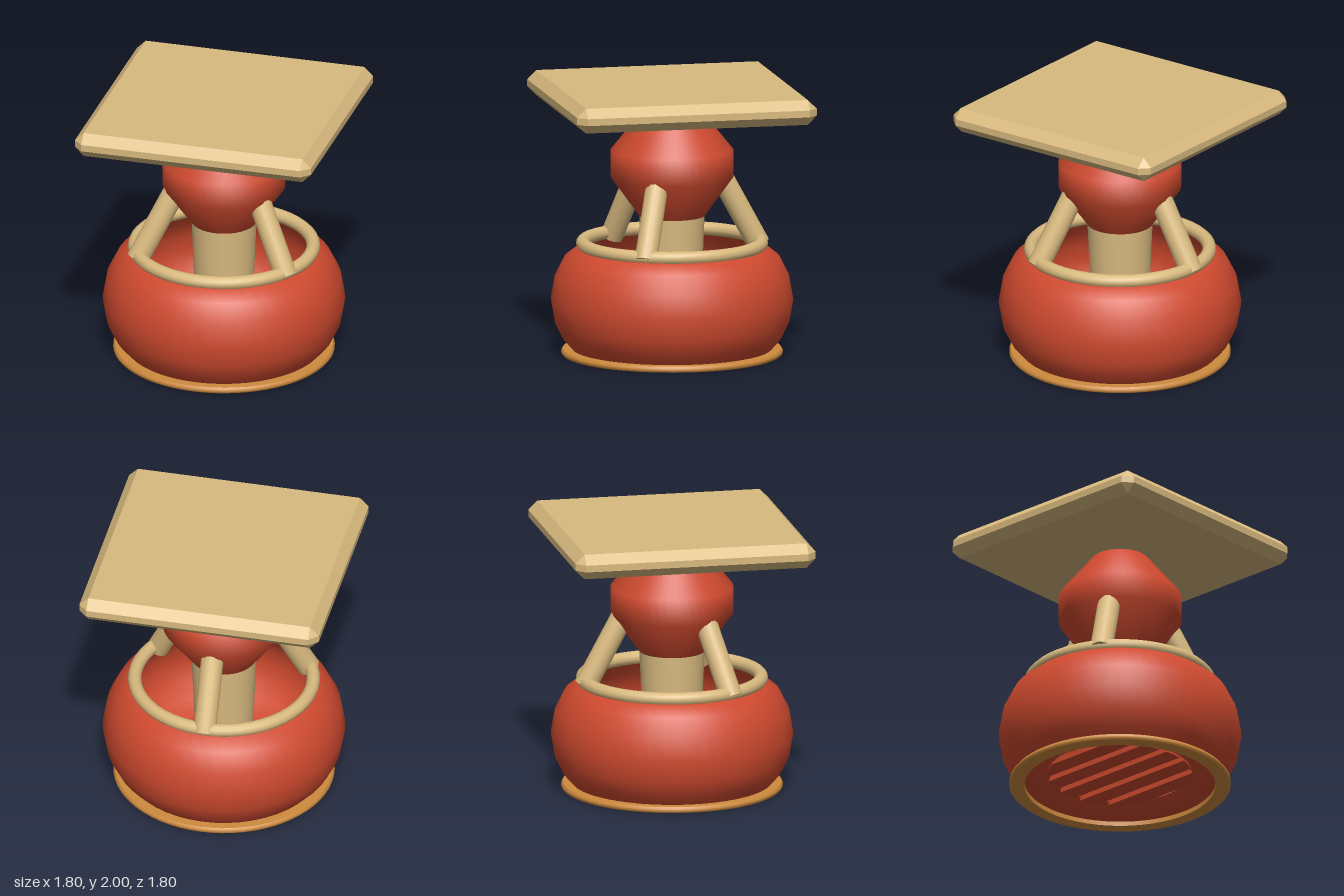
import * as THREE from 'three';
import { ConvexGeometry } from 'three/addons/geometries/ConvexGeometry.js';

const red = new THREE.MeshStandardMaterial({ color: 0xcf4a2f });
red.name = 'terracotta red';
const tan = new THREE.MeshStandardMaterial({ color: 0xd9ba7f });
tan.name = 'tan';
const tanFlat = tan.clone();
tanFlat.name = 'tan faceted';
tanFlat.flatShading = true;
const amber = new THREE.MeshStandardMaterial({ color: 0xcf8b3e });
amber.name = 'amber';

function add(parent, name, geometry, material) {
  const mesh = new THREE.Mesh(geometry, material);
  mesh.name = name;
  parent.add(mesh);
  return mesh;
}

function lathe(points, segments = 48) {
  return new THREE.LatheGeometry(points.map(([r, y]) => new THREE.Vector2(r, y)), segments);
}

// Slab with all edges and corners cut at an angle
function bevelledSlab(half, halfHeight, bevel) {
  const points = [];
  const inner = half - bevel;
  for (const sx of [-1, 1]) for (const sy of [-1, 1]) for (const sz of [-1, 1]) {
    points.push(
      new THREE.Vector3(sx * half, sy * (halfHeight - bevel), sz * inner),
      new THREE.Vector3(sx * inner, sy * (halfHeight - bevel), sz * half),
      new THREE.Vector3(sx * inner, sy * halfHeight, sz * inner));
  }
  return new ConvexGeometry(points);
}

// Round bar between two points
function bar(parent, name, from, to, radius) {
  const mesh = add(parent, name, new THREE.CylinderGeometry(radius, radius, from.distanceTo(to), 16), tan);
  mesh.position.lerpVectors(from, to, 0.5);
  mesh.quaternion.setFromUnitVectors(new THREE.Vector3(0, 1, 0), to.clone().sub(from).normalize());
}

export function createModel() {
  const model = new THREE.Group();
  model.name = 'lantern';

  // Square lid
  add(model, 'lid', bevelledSlab(0.9, 0.0925, 0.067), tanFlat).position.y = 1.9075;

  // Faceted head under the lid
  add(model, 'head', lathe([[0.24, 1.03], [0.45, 1.32], [0.45, 1.52], [0.2, 1.83]]), red);
  const underside = add(model, 'headUnderside', new THREE.CircleGeometry(0.24, 48), red);
  underside.rotation.x = Math.PI / 2;
  underside.position.y = 1.03;

  // Central post
  const post = add(model, 'post', new THREE.CylinderGeometry(0.24, 0.205, 0.85, 32), tan);
  post.position.y = 0.625;

  // Hollow bowl: outer wall, inner wall and sunken underside
  const bowl = new THREE.Group();
  bowl.name = 'bowl';
  model.add(bowl);
  add(bowl, 'outerWall', lathe([[0.72, 0.03], [0.8, 0.12], [0.86, 0.24], [0.89, 0.41],
    [0.86, 0.58], [0.79, 0.72], [0.7, 0.79], [0.63, 0.8]]), red);
  add(bowl, 'innerWall', lathe([[0.63, 0.8], [0.74, 0.68], [0.8, 0.55], [0.82, 0.41],
    [0.79, 0.27], [0.7, 0.16], [0.52, 0.11]]), red);
  add(bowl, 'underside', lathe([[0.52, 0.11], [0.57, 0.075], [0.64, 0.045], [0.72, 0.03]]), red);

  // Floor slats, cut to the round opening
  const slats = new THREE.Group();
  slats.name = 'slats';
  model.add(slats);
  for (let i = -2; i <= 2; i++) {
    const x = i * 0.2, w = 0.07, shape = new THREE.Shape();
    const steps = 4;
    const reach = (px) => Math.sqrt(Math.max(0, 0.53 ** 2 - px ** 2));
    for (let k = 0; k <= steps; k++) {
      const px = x - w + (2 * w * k) / steps;
      if (k === 0) shape.moveTo(px, -reach(px));
      else shape.lineTo(px, -reach(px));
    }
    for (let k = steps; k >= 0; k--) {
      const px = x - w + (2 * w * k) / steps;
      shape.lineTo(px, reach(px));
    }
    const slat = add(slats, 'slat', new THREE.ExtrudeGeometry(shape, { depth: 0.04, bevelEnabled: false }), red);
    slat.rotation.x = -Math.PI / 2;
    slat.position.y = 0.085;
  }

  // Rim around the bowl mouth
  const rim = add(model, 'rim', new THREE.TorusGeometry(0.655, 0.05, 12, 48), tan);
  rim.rotation.x = Math.PI / 2;
  rim.position.y = 0.825;

  // Three leaning struts, one at the back
  for (let i = 0; i < 3; i++) {
    const angle = Math.PI + (i * Math.PI * 2) / 3;
    const at = (r, y) => new THREE.Vector3(r * Math.sin(angle), y, r * Math.cos(angle));
    bar(model, 'strut', at(0.65, 0.795), at(0.31, 1.42), 0.084);
  }

  // Flat ring foot with softened edges
  add(model, 'footRing', lathe([[0.7, 0.045], [0.7, 0], [0.7, 0], [0.8, 0], [0.8, 0], [0.812, 0.012],
    [0.812, 0.03], [0.8, 0.045], [0.8, 0.045], [0.7, 0.045]], 64), amber);

  return model;
}
